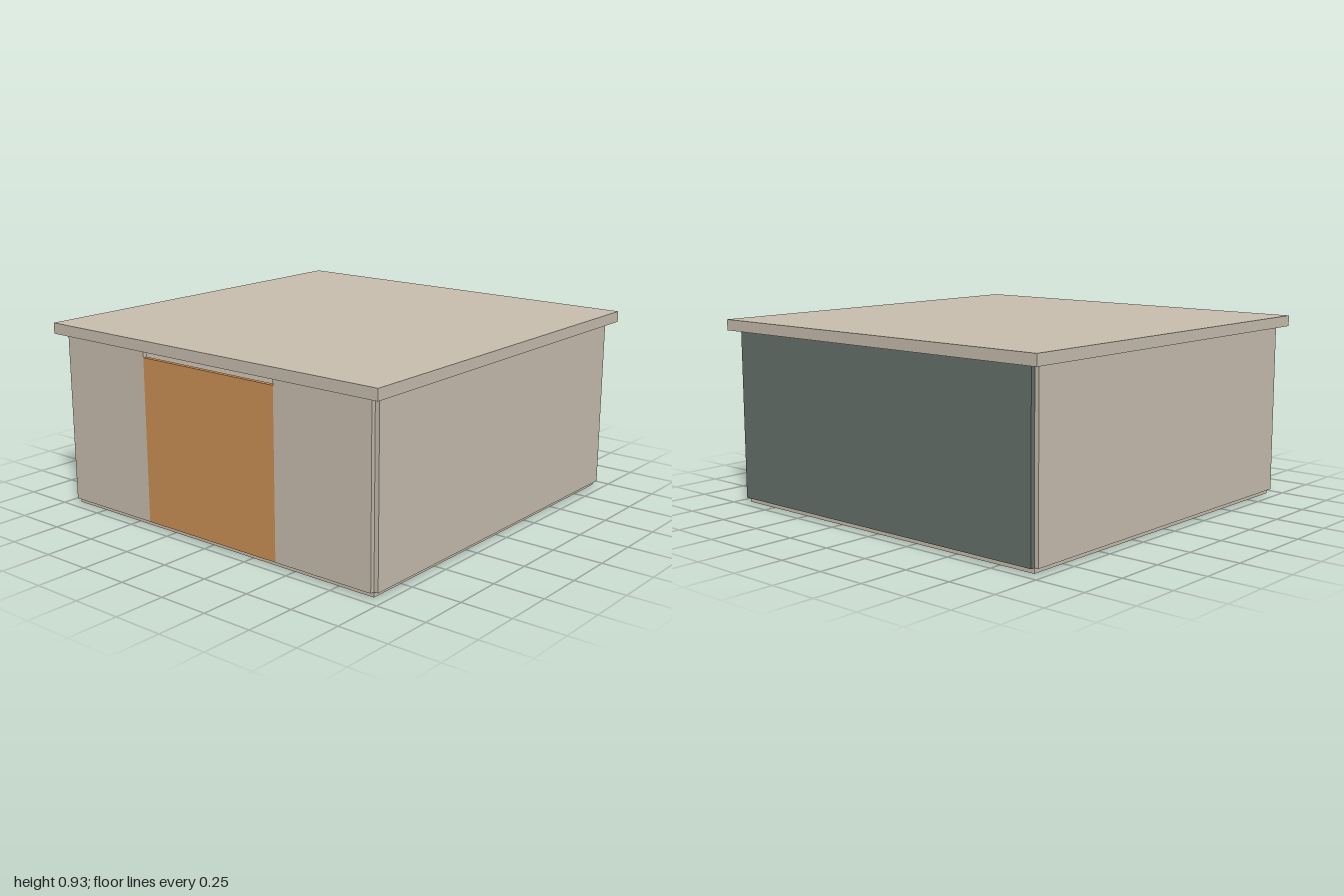
import * as THREE from 'three';

const paint = (color) => new THREE.MeshStandardMaterial({ color });

export function createModel() {
  const model = new THREE.Group();
  const beige = paint(0xc9bfb0);
  const orange = paint(0xcd9156);
  const green = paint(0x66726b);

  // Box given by its lower and upper corners
  function addBox(name, [x0, y0, z0], [x1, y1, z1], material) {
    const mesh = new THREE.Mesh(new THREE.BoxGeometry(x1 - x0, y1 - y0, z1 - z0), material);
    mesh.position.set((x0 + x1) / 2, (y0 + y1) / 2, (z0 + z1) / 2);
    mesh.name = name;
    model.add(mesh);
  }

  const inner = 0.94, outer = 0.962; // wall faces
  const bottom = 0.025, top = 0.874; // wall heights
  const doorHalf = 0.405, doorTop = 0.835;

  // Floor and overhanging flat roof
  addBox('floor', [-inner, 0, -inner], [inner, 0.05, inner], beige);
  addBox('roof', [-1, top, -1], [1, 0.928, 1], beige);

  // Walls hang on the outside of the floor, leaving open corner notches
  addBox('leftWall', [inner, bottom, -inner], [outer, top, inner], beige);
  addBox('rightWall', [-outer, bottom, -inner], [-inner, top, inner], beige);
  addBox('backWall', [-inner, bottom, -outer], [inner, top, -inner], green);
  addBox('frontLeftPanel', [doorHalf, bottom, inner], [inner, top, outer], beige);
  addBox('frontRightPanel', [-inner, bottom, inner], [-doorHalf, top, outer], beige);

  // Door, with an open slot above it
  addBox('door', [-doorHalf, bottom, inner], [doorHalf, doorTop, outer], orange);

  return model;
}
